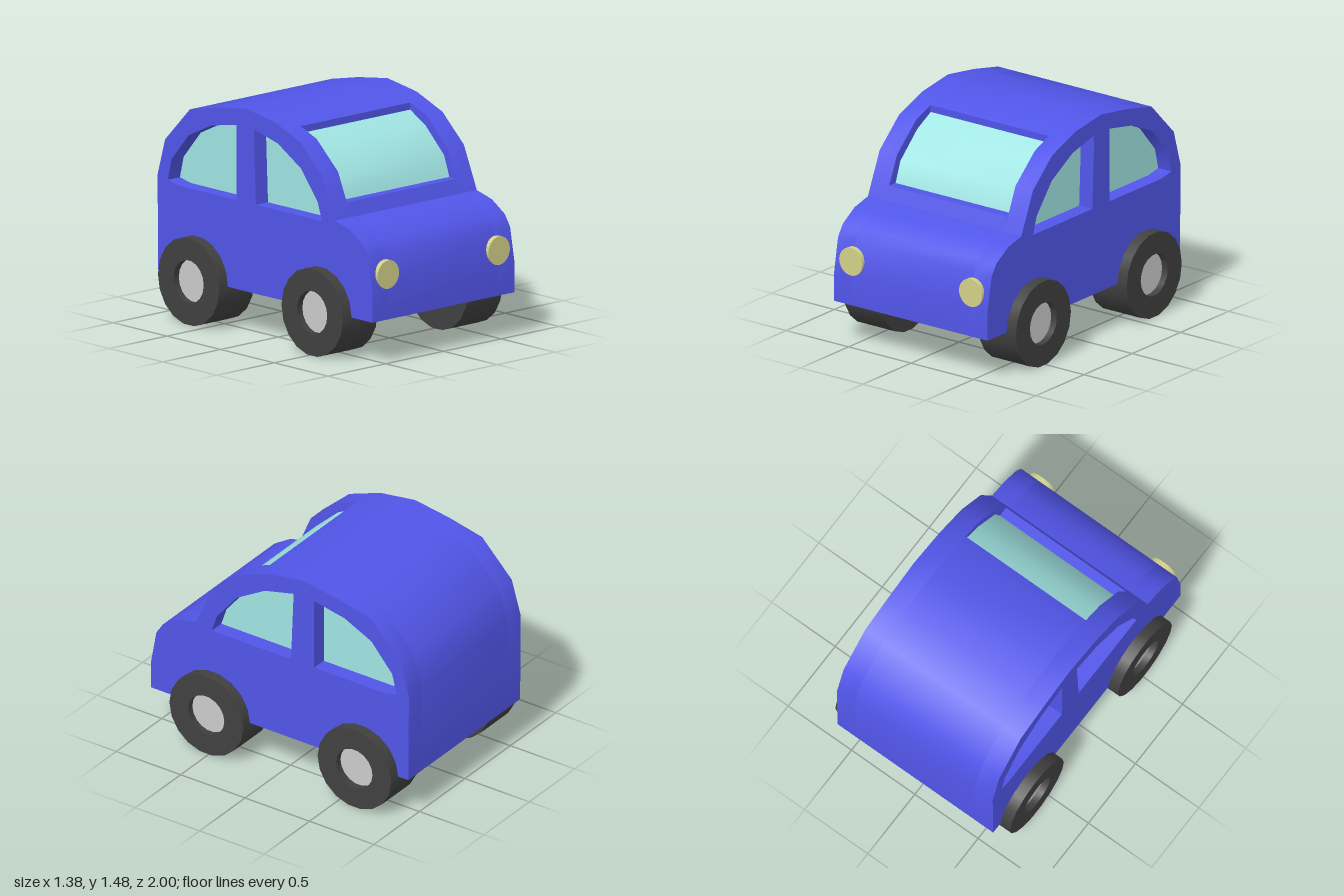
import * as THREE from 'three';
import { toCreasedNormals } from 'three/addons/utils/BufferGeometryUtils.js';

const paint = (color) => new THREE.MeshStandardMaterial({ color });

export function createModel() {
  const car = new THREE.Group();
  car.name = 'car';
  const bodyPaint = paint(0x5155e8);
  const glass = paint(0xa0e5e3);
  const rubber = paint(0x404040);
  const hubMetal = paint(0xcccccc);
  const lampYellow = paint(0xd2d088);

  const add = (name, geometry, material, parent = car) => {
    const mesh = new THREE.Mesh(geometry, material);
    mesh.name = name;
    parent.add(mesh);
    return mesh;
  };
  const outline = (points) => new THREE.Shape(points.map(([z, y]) => new THREE.Vector2(z, y)));

  // Extrudes a side-on (z, y) outline across the car from x0 to x1
  const slab = (points, x0, x1, holes = []) => {
    const shape = outline(points);
    shape.holes = holes.map(outline);
    const geometry = new THREE.ExtrudeGeometry(shape, { depth: x1 - x0, bevelEnabled: false });
    geometry.rotateY(-Math.PI / 2).translate(x1, 0, 0);
    return toCreasedNormals(geometry, 0.6);
  };

  // Side outline, from the bumper over the roof to the tail
  const nose = [[1, 0.29], [1, 0.49], [0.96, 0.71], [0.91, 0.785], [0.79, 0.86], [0.65, 0.895]];
  const screenArc = [[0.53, 1.17], [0.33, 1.35]];
  const tail = [[0.09, 1.44], [-0.18, 1.48], [-0.45, 1.44], [-0.7, 1.385], [-0.93, 1.15],
    [-1, 0.91], [-0.995, 0.29]];
  // Recess for the windscreen
  const screenNotch = [[0.611, 0.985], [0.515, 0.985], [0.47, 1.085], [0.3, 1.24], [0.18, 1.31],
    [0.18, 1.406]];
  const screenOuter = [[0.18, 1.36], [0.32, 1.285], [0.495, 1.12], [0.545, 0.985]];

  const windows = {
    frontSideWindow: [[0.53, 0.87], [0.49, 0.99], [0.335, 1.18], [0.12, 1.305], [-0.105, 1.36],
      [-0.085, 0.87]],
    rearSideWindow: [[-0.265, 0.87], [-0.265, 1.36], [-0.5, 1.315], [-0.71, 1.215], [-0.87, 1.03],
      [-0.905, 0.89], [-0.8, 0.87]],
  };

  // Body: notched middle and two side panels with window openings
  const inner = 0.475, outer = 0.615;
  add('bodyMiddle', slab([...nose, ...screenNotch, ...tail], -inner, inner), bodyPaint);
  add('windscreen', slab([...screenNotch.slice(1, 5), ...screenOuter], -inner, inner), glass);

  for (const side of [1, -1]) {
    const label = side > 0 ? 'left' : 'right';
    const span = (a, b) => (side > 0 ? [a, b] : [-b, -a]);
    add(`${label}BodySide`,
      slab([...nose, ...screenArc, ...tail], ...span(inner, outer), Object.values(windows)), bodyPaint);
    for (const [name, points] of Object.entries(windows)) {
      add(`${label} ${name}`, slab(points, ...span(inner, 0.51)), glass);
    }

    // Headlight
    const lamp = new THREE.CylinderGeometry(0.093, 0.093, 0.12, 32).rotateX(Math.PI / 2);
    add(`${label}Headlight`, lamp, lampYellow).position.set(side * 0.48, 0.583, 0.943);

    // Wheels: tyre with a recessed hub
    for (const [end, z] of [['Front', 0.52], ['Rear', -0.63]]) {
      const wheel = new THREE.Group();
      wheel.name = `${label}${end}Wheel`;
      wheel.position.set(side * 0.39, 0.286, z);
      wheel.rotation.z = -side * Math.PI / 2;
      const profile = [[0, 0], [0.286, 0], [0.286, 0.3], [0.14, 0.3], [0.14, 0.24]];
      const tyre = new THREE.LatheGeometry(profile.map(([r, h]) => new THREE.Vector2(r, h)), 18);
      add('tyre', toCreasedNormals(tyre, 0.6), rubber, wheel);
      add('hub', new THREE.CylinderGeometry(0.14, 0.14, 0.05, 18), hubMetal, wheel).position.y = 0.23;
      car.add(wheel);
    }
  }
  return car;
}
